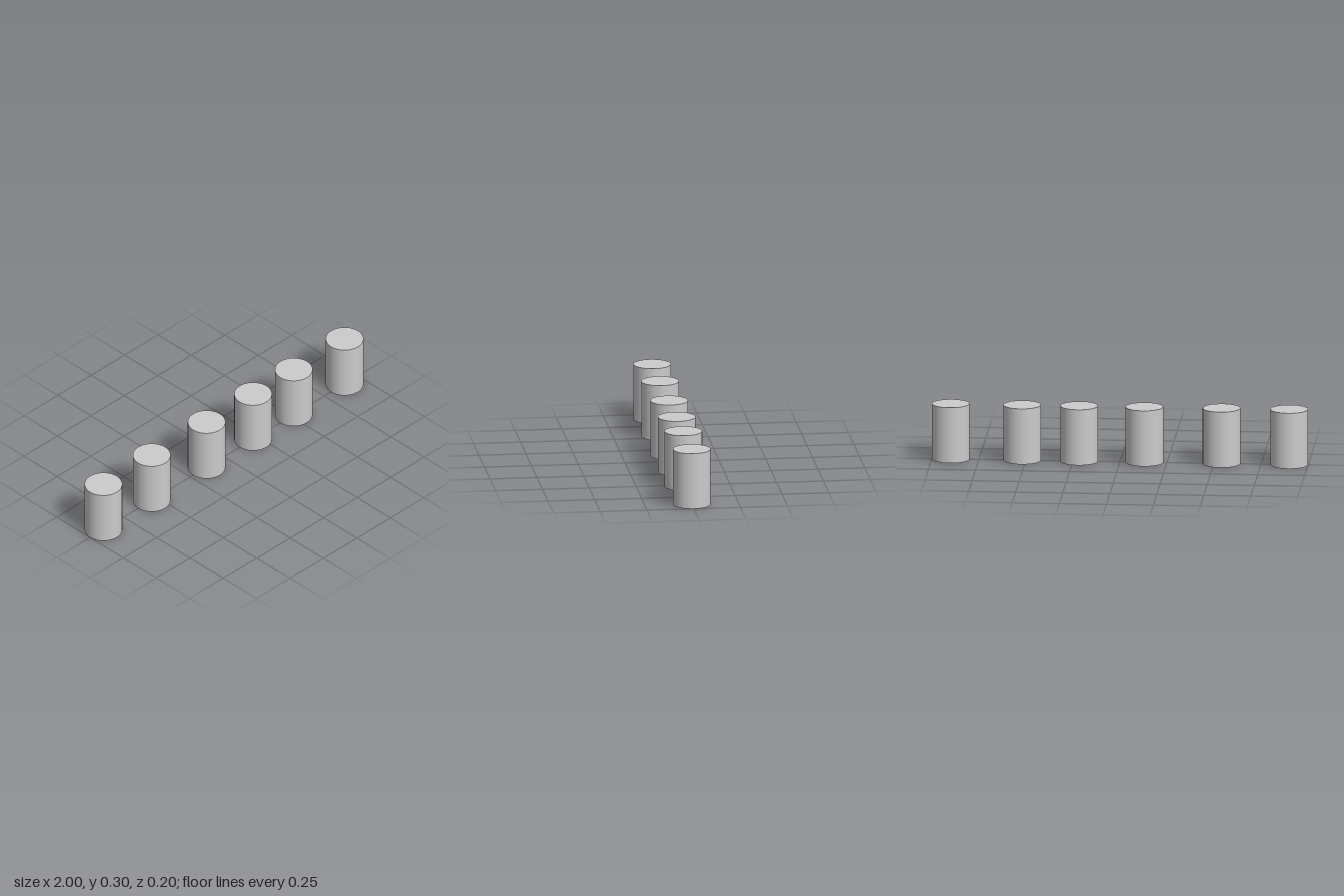
import * as THREE from 'three';

// A row of six equal upright cylinders at uneven spacing
export function createModel() {
  const model = new THREE.Group();
  model.name = 'cylinderRow';

  const radius = 0.1;
  const height = 0.302;
  const centres = [-0.9, -0.54, -0.13, 0.217, 0.52, 0.9];

  const geometry = new THREE.CylinderGeometry(radius, radius, height, 64);
  geometry.translate(0, height / 2, 0);
  const material = new THREE.MeshStandardMaterial({ color: 0xcccccc });

  centres.forEach((x, i) => {
    const cylinder = new THREE.Mesh(geometry, material);
    cylinder.name = `cylinder${i + 1}`;
    cylinder.position.x = x;
    model.add(cylinder);
  });

  return model;
}
